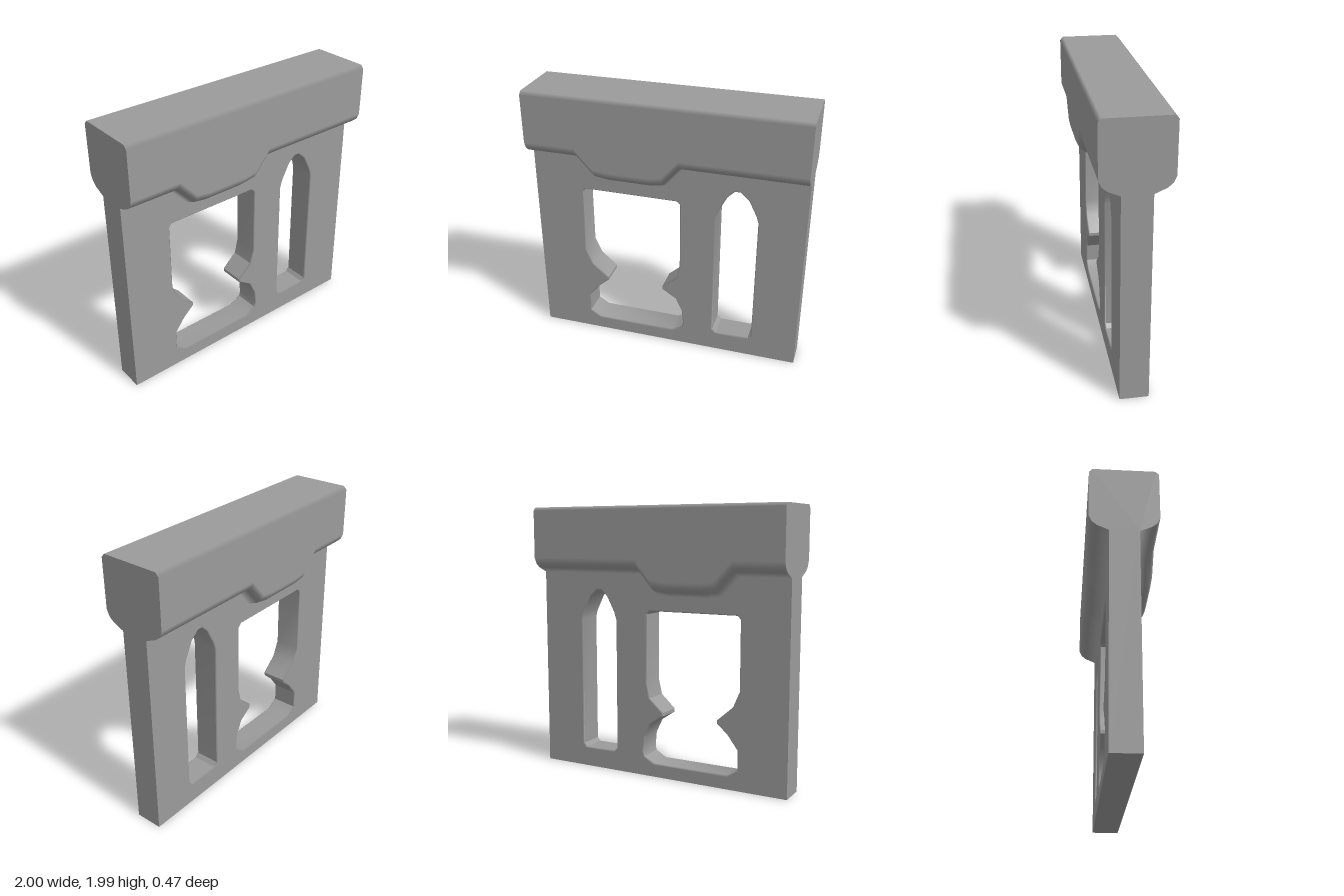
import * as THREE from 'three';
import { toCreasedNormals } from 'three/addons/utils/BufferGeometryUtils.js';

const material = new THREE.MeshStandardMaterial({ color: 0x9b9b9b });

// Lower edge of the lintel along x: [x, drop]
const stations = [
  [-1, 0], [-0.63, 0], [-0.5, -0.14], [-0.4, -0.155],
  [-0.1, -0.155], [0, -0.14], [0.12, 0], [1, 0],
];

// Window outlines, seen from the front
const wideWindow = [
  [-0.615, 1.235], [-0.64, 1.21], [-0.64, 0.71], [-0.59, 0.595], [-0.47, 0.49],
  [-0.47, 0.465], [-0.55, 0.395], [-0.63, 0.29], [-0.63, 0.15], [-0.55, 0.1],
  [0.04, 0.1], [0.12, 0.145], [0.13, 0.18], [0.12, 0.29], [0.07, 0.395],
  [-0.035, 0.465], [-0.035, 0.49], [0.075, 0.59], [0.1, 0.7], [0.1, 1.21], [0.075, 1.235],
];
const archWindow = [
  [0.39, 0.148], [0.362, 0.175], [0.362, 1.15], [0.38, 1.21], [0.44, 1.325], [0.49, 1.373],
  [0.53, 1.373], [0.59, 1.32], [0.65, 1.2], [0.664, 1.15], [0.664, 0.175], [0.64, 0.148],
];

const toVectors = (points) => points.map(([x, y]) => new THREE.Vector2(x, y));

// Thin wall with softly bevelled windows; its top edge is tucked inside the lintel
function wallGeometry() {
  const top = stations.map(([x, drop]) => [x, 1.53 + drop]).reverse();
  const shape = new THREE.Shape(toVectors([[-1, 0], [1, 0], ...top]));
  for (const outline of [wideWindow, archWindow]) shape.holes.push(new THREE.Path(toVectors(outline)));
  const bevel = 0.01;
  const extruded = new THREE.ExtrudeGeometry(shape, {
    depth: 0.2 - 2 * bevel, bevelEnabled: true, bevelSegments: 1,
    bevelSize: bevel, bevelThickness: bevel, bevelOffset: -bevel,
  });
  extruded.translate(0, 0, bevel - 0.1);
  // Square off the outer edges so only the windows stay bevelled
  const p = extruded.attributes.position;
  for (let i = 0; i < p.count; i++) {
    if (Math.abs(p.getX(i)) > 0.95) p.setX(i, Math.sign(p.getX(i)));
    if (p.getY(i) < 0.05) p.setY(i, 0);
  }
  // Round the shading of the bevels: face normal outside, window wall normal inside
  const geometry = toCreasedNormals(extruded, 0.6);
  const { position, normal } = geometry.attributes;
  const v = new THREE.Vector3();
  for (let i = 0; i < position.count; i++) {
    v.fromBufferAttribute(normal, i);
    if (Math.abs(v.z) < 0.3 || Math.abs(v.z) > 0.95) continue;
    if (Math.abs(position.getZ(i)) > 0.098) v.set(0, 0, Math.sign(v.z));
    else v.setZ(0).normalize();
    normal.setXYZ(i, v.x, v.y, v.z);
  }
  return geometry;
}

// Thick lintel: a cross-section with a flared underside, swept along the stations
function lintelGeometry() {
  // Rows of [z, y, normal z, normal y, follows the drop]
  const front = [
    [0.1, 1.5, 1, 0, 1], [0.18, 1.535, 0.55, -0.83, 1], [0.215, 1.565, 0.8, -0.6, 1],
    [0.235, 1.61, 1, 0, 1], [0.235, 1.96, 1, 0, 0], [0.212, 1.985, 0, 1, 0],
  ];
  const back = front.map(([z, y, nz, ny, follows]) => [-z, y, -nz, ny, follows]).reverse();
  const section = [...front, ...back];
  const n = section.length;
  const positions = [], normals = [], index = [];
  const normal = new THREE.Vector3();

  // Side skin, its normals leaning with the slope of the lower edge
  stations.forEach(([x, drop], i) => {
    const before = stations[Math.max(i - 1, 0)];
    const after = stations[Math.min(i + 1, stations.length - 1)];
    const slope = (after[1] - before[1]) / (after[0] - before[0]);
    section.forEach(([z, y, nz, ny, follows], j) => {
      positions.push(x, y + drop * follows, z);
      normal.set(-slope * ny * follows, ny, nz).normalize();
      normals.push(normal.x, normal.y, normal.z);
      if (i === 0 || j === 0) return;
      const c = i * n + j, d = c - n;
      index.push(d - 1, c - 1, c, d - 1, c, d);
    });
  });

  // Flat end caps
  for (const side of [-1, 1]) {
    const start = positions.length / 3;
    for (const [z, y] of section) {
      positions.push(side, y, z);
      normals.push(side, 0, 0);
    }
    for (let j = 1; j < n - 1; j++) {
      const a = start + j, b = a + 1;
      index.push(start, ...(side < 0 ? [a, b] : [b, a]));
    }
  }
  const geometry = new THREE.BufferGeometry();
  geometry.setAttribute('position', new THREE.Float32BufferAttribute(positions, 3));
  geometry.setAttribute('normal', new THREE.Float32BufferAttribute(normals, 3));
  geometry.setIndex(index);
  return geometry;
}

export function createModel() {
  const group = new THREE.Group();
  group.name = 'windowWall';
  const add = (name, geometry) => {
    const mesh = new THREE.Mesh(geometry, material);
    mesh.name = name;
    group.add(mesh);
  };
  add('wall', wallGeometry());
  add('lintel', lintelGeometry());
  return group;
}
